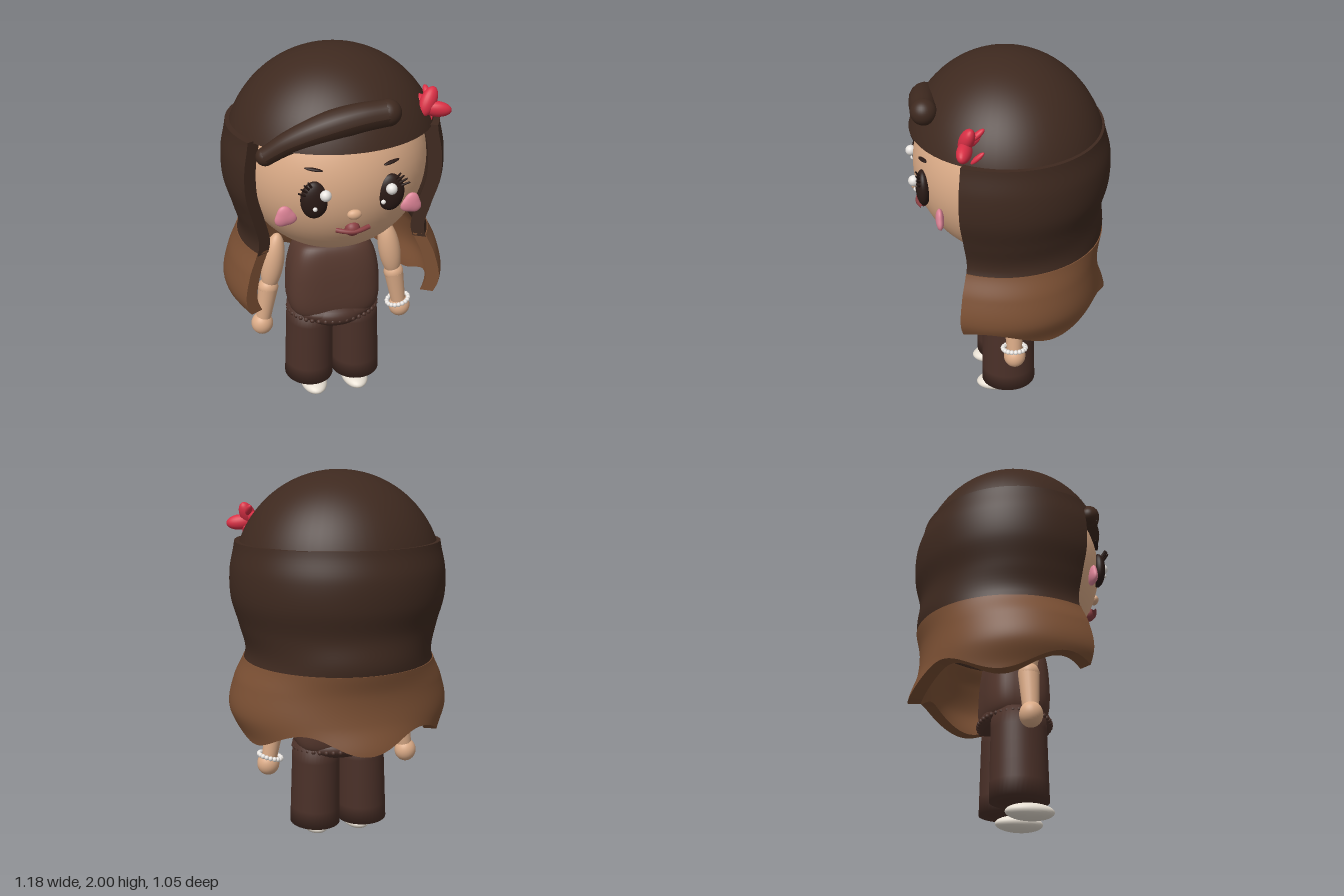
import * as THREE from 'three';
import { mergeVertices } from 'three/addons/utils/BufferGeometryUtils.js';

const mat = color => new THREE.MeshStandardMaterial({ color });
const M = {
  skin: mat(0xdcac88), hair: mat(0x3e291f), hairTip: mat(0x7a4f33), top: mat(0x56382e), trousers: mat(0x4a3028),
  dark: mat(0x2a1a16), white: mat(0xe8e4e0), shoe: mat(0xe6ded2), lip: mat(0x8a3f42), cheek: mat(0xdd8497), red: mat(0xd92f45),
};
const V = (x, y, z) => new THREE.Vector3(x, y, z);

export function createModel() {
  const model = new THREE.Group();
  const add = (name, geo, material, parent = model) => {
    const mesh = new THREE.Mesh(geo, material);
    mesh.name = name;
    parent.add(mesh);
    return mesh;
  };
  const ball = (name, material, p, s, parent = model, seg = 32) => {
    const mesh = add(name, new THREE.SphereGeometry(1, seg, Math.max(8, seg * 0.6 | 0)), material, parent);
    mesh.position.set(...p);
    mesh.scale.set(...s);
    return mesh;
  };
  // tapered rod between two points
  const rod = (name, material, a, b, ra, rb) => {
    const dir = b.clone().sub(a);
    const mesh = add(name, new THREE.CylinderGeometry(rb, ra, dir.length(), 20), material);
    mesh.position.copy(a).add(b).multiplyScalar(0.5);
    mesh.quaternion.setFromUnitVectors(V(0, 1, 0), dir.normalize());
  };
  // tube whose radius follows a rule along its length
  const taperTube = (name, material, pts, radius, seg = 40) => {
    const curve = new THREE.CatmullRomCurve3(pts);
    const geo = new THREE.TubeGeometry(curve, seg, 1, 16);
    const pos = geo.attributes.position, v = V(0, 0, 0);
    for (let i = 0; i < pos.count; i++) {
      const t = Math.floor(i / 17) / seg, c = curve.getPointAt(t);
      v.fromBufferAttribute(pos, i).sub(c).multiplyScalar(radius(t)).add(c);
      pos.setXYZ(i, v.x, v.y, v.z);
    }
    geo.computeVertexNormals();
    add(name, geo, material);
  };

  // head and hair cap
  ball('head', M.skin, [0, 1.42, 0.005], [0.49, 0.49, 0.485], model, 56);
  const cut = Math.acos(0.18 / 0.55);
  const cap = add('hairCap', new THREE.SphereGeometry(0.55, 56, 28, 0, Math.PI * 2, 0, cut), M.hair);
  cap.position.set(0, 1.45, 0.016);
  cap.scale.z = 0.935;
  const brim = add('hairCapUnderside', new THREE.CircleGeometry(0.55 * Math.sin(cut), 56), M.hair);
  brim.position.set(0, 1.63, 0.016);
  brim.rotation.x = Math.PI / 2;
  brim.scale.y = 0.935;

  // wavy long hair: a box bent round the head, its radius following side and back profiles
  const profile = rs => new THREE.SplineCurve(rs.map((r, i) => new THREE.Vector2(r, i)));
  const sideWave = profile([0.54, 0.567, 0.565, 0.525, 0.495, 0.555, 0.583, 0.53]);
  const backWave = profile([0.503, 0.54, 0.54, 0.51, 0.522, 0.495, 0.505, 0.55]);
  const longHair = (name, material, yTop, yBottom, grow) => {
    const geo = new THREE.BoxGeometry(1, 1, 1, 80, 28, 1);
    const pos = geo.attributes.position;
    for (let i = 0; i < pos.count; i++) {
      const a = pos.getX(i) * 2 * THREE.MathUtils.degToRad(119);
      const y = THREE.MathUtils.lerp(yBottom(a), yTop, pos.getY(i) + 0.5);
      const t = Math.min(1, (1.64 - y) / 1.02);
      const k = Math.abs(a) > Math.PI / 2 ? 1 : Math.sin(a) ** 2;
      const r = THREE.MathUtils.lerp(backWave.getPoint(t).x, sideWave.getPoint(t).x, k)
        + grow + (pos.getZ(i) - 0.5) * 0.07;
      pos.setXYZ(i, -Math.sin(a) * r, y, 0.025 - Math.cos(a) * r);
    }
    geo.computeVertexNormals();
    add(name, geo, material);
  };
  longHair('longHair', M.hair, 1.64, () => 1.01, 0);
  longHair('hairEnds', M.hairTip, 1.025, a => 0.67 - 0.05 * Math.cos(a * 5.14), 0.005);

  // swept fringe roll
  const fringe = [V(-0.4, 1.59, 0.345), V(-0.29, 1.665, 0.38), V(-0.12, 1.735, 0.41), V(0.04, 1.775, 0.425), V(0.17, 1.79, 0.43)];
  taperTube('fringe', M.hair, fringe, t => 0.046 + 0.018 * Math.sin(t * Math.PI * 0.9) ** 2 + 0.017 * t);
  ball('fringeTip', M.hair, fringe[0].toArray(), [0.046, 0.046, 0.046]);
  ball('fringeEnd', M.hair, fringe[4].toArray(), [0.065, 0.065, 0.065]);

  // flower on the left of the hair: petal centre, long axis, half length, half width
  const flower = new THREE.Group();
  flower.name = 'flower';
  model.add(flower);
  for (const [c, axis, len, wid] of [
    [[0.428, 1.755, 0.25], V(0.45, 0.85, -0.25), 0.078, 0.042],
    [[0.468, 1.718, 0.265], V(1, -0.1, 0.3), 0.074, 0.041],
    [[0.405, 1.745, 0.225], V(-0.35, 0.3, -0.8), 0.064, 0.033],
    [[0.455, 1.675, 0.205], V(0.15, 0.7, -0.7), 0.045, 0.015],
    [[0.435, 1.785, 0.2], V(-0.05, 0.6, -0.7), 0.042, 0.018],
  ]) {
    ball('petal', M.red, c, [wid, len, wid * 0.85], flower, 24)
      .quaternion.setFromUnitVectors(V(0, 1, 0), axis.normalize());
  }

  // softly three-cornered cheek
  const cheek = new THREE.SphereGeometry(1, 36, 20);
  const cp = cheek.attributes.position;
  for (let i = 0; i < cp.count; i++) {
    const k = 1 + 0.12 * Math.cos(3 * (Math.atan2(cp.getY(i), cp.getX(i)) - 1.4));
    cp.setXY(i, cp.getX(i) * k, cp.getY(i) * k);
  }
  cheek.computeVertexNormals();

  // face
  for (const s of [-1, 1]) {
    ball('eye', M.dark, [s * 0.187, 1.388, 0.45], [0.07, 0.097, 0.038]);
    const hx = s < 0 ? -0.143 : 0.18;
    ball('eyeHighlight', M.white, [hx, 1.425, 0.495], [0.028, 0.028, 0.028], model, 20);
    ball('eyeSparkle', M.white, [s < 0 ? -0.193 : 0.143, 1.355, 0.486], [0.012, 0.012, 0.012], model, 14);
    for (let i = 0; i < 4; i++) {
      const a = 0.45 + i * 0.25, x = 0.187 + Math.cos(a) * 0.055, y = 1.39 + Math.sin(a) * 0.08;
      rod('eyelash', M.dark, V(s * x, y, 0.468), V(s * (x + 0.036 - i * 0.006), y + 0.022 + i * 0.004, 0.485), 0.007, 0.004);
    }
    const brow = ball('eyebrow', M.dark, [s * 0.19, 1.545, 0.447], [0.045, 0.008, 0.012], model, 20);
    brow.rotation.set(0, s * 0.35, s * 0.13);
    const blush = add('cheek', cheek, M.cheek);
    blush.position.set(s * 0.318, 1.278, 0.382);
    blush.scale.set(s * 0.053, 0.052, 0.021);
  }
  ball('nose', M.skin, [0, 1.305, 0.485], [0.036, 0.026, 0.022], model, 24);
  ball('lips', M.lip, [0, 1.21, 0.448], [0.038, 0.038, 0.034], model, 24);
  taperTube('mouthLine', M.lip, [V(-0.083, 1.213, 0.453), V(-0.04, 1.208, 0.47), V(0, 1.205, 0.476), V(0.04, 1.208, 0.47), V(0.083, 1.213, 0.453)],
    () => 0.012, 16);

  // torso: a sphere squared off into a rounded block
  const torso = new THREE.SphereGeometry(1, 48, 32);
  const tp = torso.attributes.position;
  const soft = (v, p) => Math.sign(v) * Math.abs(v) ** p;
  for (let i = 0; i < tp.count; i++) {
    const y = tp.getY(i), ring = Math.sqrt(Math.max(0, 1 - y * y)) || 1e-6;
    const w = soft(ring, 0.25) * (0.25 - 0.022 * y);
    tp.setXYZ(i, soft(tp.getX(i) / ring, 0.6) * w, 0.725 + 0.225 * soft(y, 0.85),
      0.02 + soft(tp.getZ(i) / ring, 0.6) * w * 0.66);
  }
  torso.computeVertexNormals();
  add('torso', torso, M.top);
  ball('hips', M.trousers, [0, 0.53, 0.024], [0.25, 0.075, 0.185]);
  ball('belly', M.trousers, [0, 0.522, 0.12], [0.155, 0.068, 0.098]);

  // beaded belt
  for (let i = 0; i < 40; i++) {
    const a = i / 40 * Math.PI * 2;
    ball('beltBead', M.trousers, [Math.cos(a) * 0.246, 0.522 - 0.01 * Math.max(0, Math.sin(a)), 0.025 + Math.sin(a) * 0.183],
      [0.013, 0.013, 0.013], model, 12);
  }

  // trouser leg with a softly shaded hem
  let legGeo = new THREE.CylinderGeometry(0.128, 0.136, 0.46, 40, 5);
  legGeo.deleteAttribute('normal');
  legGeo.deleteAttribute('uv');
  legGeo = mergeVertices(legGeo, 1e-4);
  legGeo.computeVertexNormals();

  for (const s of [-1, 1]) {
    const leg = add('leg', legGeo, M.trousers);
    leg.position.set(s * 0.13, 0.313, 0.02);
    leg.rotation.z = s * 0.02;
    leg.scale.z = 1.1;
    ball('shoe', M.shoe, [s * 0.12, 0.042, 0.075], [0.074, 0.042, 0.125]);

    // arm
    const upper = ball('upperArm', M.skin, [s * 0.325, 0.82, 0.02], [0.06, 0.175, 0.058]);
    upper.rotation.z = s * 0.17;
    ball('elbow', M.skin, [s * 0.354, 0.67, 0.02], [0.055, 0.055, 0.053]);
    rod('forearm', M.skin, V(s * 0.354, 0.67, 0.02), V(s * 0.388, 0.47, 0.02), 0.054, 0.04);
    ball('hand', M.skin, [s * 0.394, 0.442, 0.02], [0.06, 0.064, 0.058]);
  }

  // pearl bracelet on the left wrist
  for (let i = 0; i < 18; i++) {
    const a = i / 18 * Math.PI * 2;
    ball('braceletBead', M.white, [0.383 + Math.cos(a) * 0.06, 0.483 + Math.cos(a) * 0.016, 0.02 + Math.sin(a) * 0.06],
      [0.013, 0.013, 0.013], model, 14);
  }
  return model;
}
